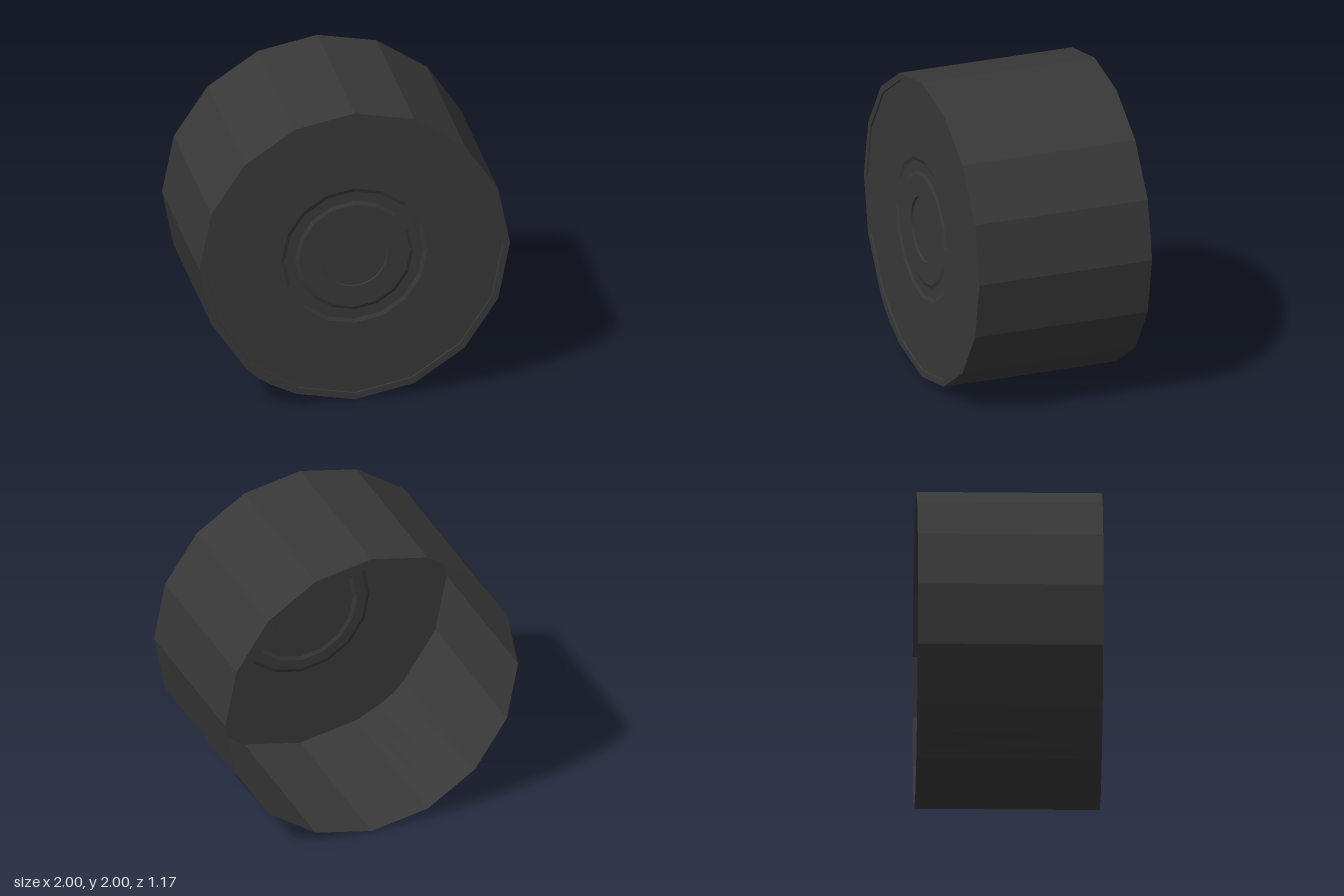
import * as THREE from 'three';

const SIDES = 16;   // facets of the drum
const STEPS = 64;   // points per loop, four to each facet

// Closed loop around the z axis: a 16-sided polygon, or a round circle
function ring(r, z, round = false) {
  const points = [];
  const per = STEPS / SIDES;
  const corner = (k) => {
    const a = (k / SIDES) * Math.PI * 2;
    return new THREE.Vector3(r * Math.cos(a), r * Math.sin(a), z);
  };
  for (let i = 0; i < STEPS; i++) {
    if (round) {
      const a = (i / STEPS) * Math.PI * 2;
      points.push(new THREE.Vector3(r * Math.cos(a), r * Math.sin(a), z));
    } else {
      const k = Math.floor(i / per);
      points.push(corner(k).lerp(corner(k + 1), (i % per) / per));
    }
  }
  return points;
}

// Skin consecutive loops with flat faces
function loft(loops) {
  const pos = [];
  const tri = (...pts) => pts.forEach((p) => pos.push(p.x, p.y, p.z));
  for (let l = 0; l < loops.length - 1; l++) {
    const a = loops[l], b = loops[l + 1];
    for (let i = 0; i < STEPS; i++) {
      const j = (i + 1) % STEPS;
      tri(a[i], a[j], b[j]);
      tri(a[i], b[j], b[i]);
    }
  }
  const geometry = new THREE.BufferGeometry();
  geometry.setAttribute('position', new THREE.Float32BufferAttribute(pos, 3));
  geometry.computeVertexNormals();
  return geometry;
}

export function createModel() {
  const rubber = new THREE.MeshStandardMaterial({ color: 0x383838, side: THREE.DoubleSide, flatShading: true });
  rubber.name = 'darkRubber';

  const model = new THREE.Group();
  model.name = 'wheel';
  const add = (name, geometry) => {
    const mesh = new THREE.Mesh(geometry, rubber);
    mesh.name = name;
    mesh.position.y = 1;
    model.add(mesh);
  };

  const front = 0.585, back = -0.585, face = 0.575;

  // Front edge, with one facet bulging slightly at the lower right
  const edge = ring(1, front);
  edge[41].set(-0.636, -0.781, front);
  edge[42].set(-0.54, -0.845, front);
  edge[43].set(-0.461, -0.884, front);

  // Tread, open at the back
  add('tread', loft([ring(1, back), edge]));

  // Narrow flat rim and its small step down to the face
  add('rim', loft([edge, ring(0.957, front), ring(0.955, face)]));

  // Side face with two shallow bevelled steps
  add('sideFace', loft([
    ring(0.955, face), ring(0.47, face), ring(0.445, face - 0.01),
    ring(0.38, face - 0.01), ring(0.357, face), ring(0.212, face, true),
  ]));

  // Round hub set slightly into the face
  add('hub', loft([ring(0.212, face, true), ring(0.21, face - 0.015, true)]));
  const cap = new THREE.CircleGeometry(0.21, STEPS);
  cap.translate(0, 0, face - 0.015);
  add('hubCap', cap);

  return model;
}
